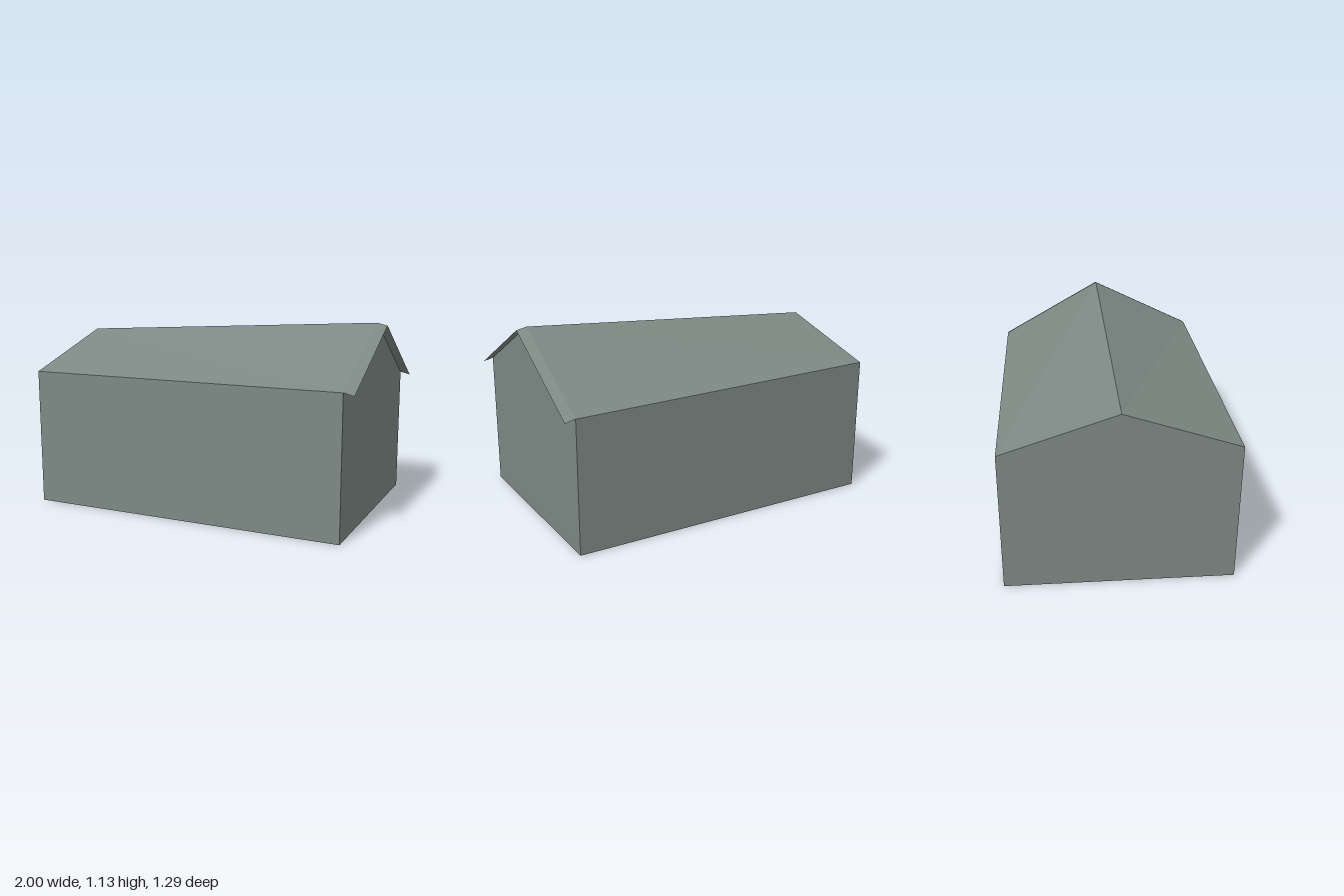
import * as THREE from 'three';

export function createModel() {
  const group = new THREE.Group();
  group.name = 'gableHouse';
  const greyGreen = new THREE.MeshStandardMaterial({ color: 0x7c8883 });
  greyGreen.name = 'greyGreen';
  greyGreen.flatShading = true;
  greyGreen.side = THREE.DoubleSide;

  // Cross-section at one x: ridge, front eave, back eave and the two base corners
  const W = 0.645;
  const section = (x, ridge, frontEave, backEave) => ({
    ridge: [x, ridge, 0],
    front: [x, frontEave, W],
    back: [x, backEave, -W],
    frontBase: [x, 0, W],
    backBase: [x, 0, -W],
  });
  const a = section(-1, 1.035, 0.82, 0.82);
  const b = section(0.94, 1.135, 0.82, 0.77);
  const tip = section(1, 1.12, 0.805, 0.755);

  // Flat panel, fanned from its first corner
  const panel = (name, ...corners) => {
    const pos = [];
    for (let i = 1; i < corners.length - 1; i++) {
      pos.push(...corners[0], ...corners[i], ...corners[i + 1]);
    }
    const geo = new THREE.BufferGeometry();
    geo.setAttribute('position', new THREE.Float32BufferAttribute(pos, 3));
    geo.computeVertexNormals();
    const mesh = new THREE.Mesh(geo, greyGreen);
    mesh.name = name;
    group.add(mesh);
  };

  // Walls and floor
  panel('frontWall', a.front, a.frontBase, b.frontBase, b.front);
  panel('backWall', b.back, b.backBase, a.backBase, a.back);
  panel('leftGable', b.ridge, b.front, b.frontBase, b.backBase, b.back);
  panel('rightGable', a.ridge, a.back, a.backBase, a.frontBase, a.front);
  panel('floor', a.frontBase, a.backBase, b.backBase, b.frontBase);

  // Slightly twisted roof slopes
  panel('frontRoof', a.ridge, a.front, b.front, b.ridge);
  panel('backRoof', b.ridge, b.back, a.back, a.ridge);

  // Thin roof overhang past the left gable
  panel('frontOverhang', b.ridge, b.front, tip.front, tip.ridge);
  panel('backOverhang', tip.ridge, tip.back, b.back, b.ridge);

  return group;
}
